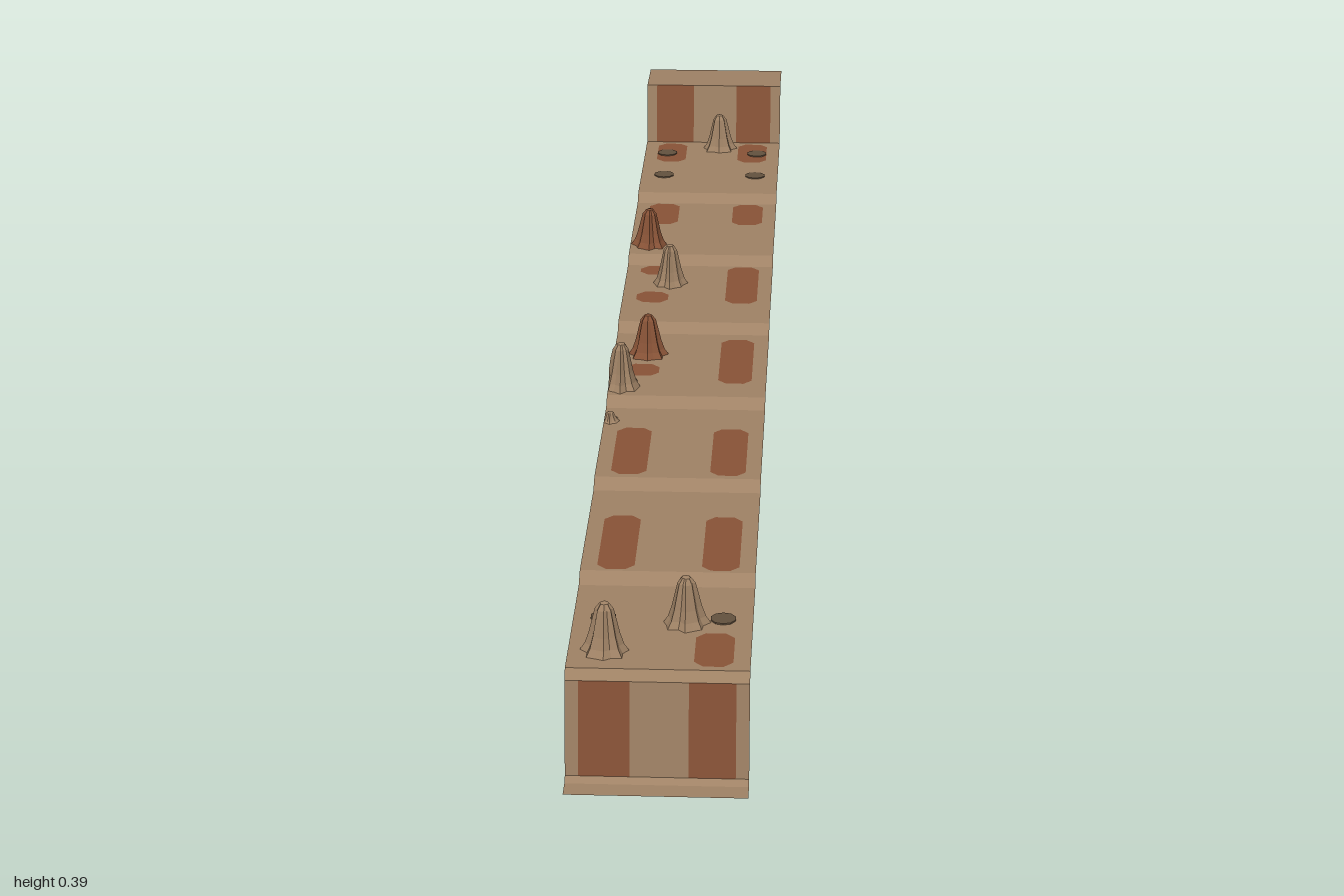
import * as THREE from 'three';

const W = 0.117;

export function createModel() {
  const model = new THREE.Group();
  const mat = (name, color) => {
    const m = new THREE.MeshStandardMaterial({ color, side: THREE.DoubleSide, flatShading: true });
    m.name = name;
    return m;
  };
  const tan = mat('tan rock', 0x9f8265);
  const rust = mat('rust earth', 0x885337);
  const soot = mat('dark pebble', 0x64523f);

  const add = (geo, material, name) => {
    const mesh = new THREE.Mesh(geo, material);
    mesh.name = name;
    model.add(mesh);
    return mesh;
  };

  // Flat strip spanning x0..x1 between two points [z, y] of the side profile
  const strip = (x0, x1, a, b, material, name) => {
    const g = new THREE.PlaneGeometry(1, 1);
    const p = g.attributes.position;
    for (let i = 0; i < 4; i++) {
      const [z, y] = p.getY(i) < 0 ? a : b;
      p.setXYZ(i, p.getX(i) < 0 ? x0 : x1, y, z);
    }
    g.computeVertexNormals();
    add(g, material, name);
  };

  // Walkway levels
  const steps = [0.94, 0.70, 0.43, 0.17, -0.09, -0.35, -0.61, -0.885];
  const treads = [];
  for (let i = 0; i < 7; i++) {
    treads.push({
      z0: steps[i] - (i ? 0.01 : 0), y0: 0.148 + 0.0217 * i,
      z1: steps[i + 1] + (i < 6 ? 0.01 : 0), y1: 0.157 + 0.0217 * i,
    });
  }
  const treadAt = z => treads.find(t => z <= t.z0 && z >= t.z1);
  const heightOn = (t, z) => t.y0 + (t.y1 - t.y0) * (t.z0 - z) / (t.z0 - t.z1);

  // Spikes: x, z, base radius, height, material
  const spikes = [
    [-0.07, 0.89, 0.03, 0.067, tan], [0.03, 0.81, 0.03, 0.065, tan],
    [-0.098, 0.125, 0.029, 0.068, tan], [-0.065, 0, 0.029, 0.064, rust],
    [-0.045, -0.265, 0.027, 0.064, tan], [-0.085, -0.405, 0.028, 0.061, rust],
    [0.012, -0.855, 0.028, 0.061, tan], [-0.108, 0.225, 0.014, 0.014, tan],
  ];
  const SIDES = 16;
  const ridge = (k, s) => 1 + 0.09 * Math.cos(k * Math.PI) + 0.07 * Math.sin(k * 1.9 + s * 2.3);
  const profile = [[1, 0], [0.8, 0.14], [0.64, 0.36], [0.5, 0.64], [0.38, 0.87], [0.2, 0.98], [0, 1]];
  const rim = (s, f) => {
    const [x, z, r] = spikes[s];
    return Array.from({ length: SIDES }, (_, k) => {
      const a = k / SIDES * Math.PI * 2, q = r * f * ridge(k % SIDES, s) * 0.95;
      return [Math.max(x + q * Math.cos(a), -W + 0.0005), z - q * Math.sin(a)];
    });
  };

  // Rust patches set flush in the treads: x centre, front z, back z
  const patches = [
    [0.07, 0.93, 0.84], [0.07, 0.685, 0.52], [-0.07, 0.685, 0.52],
    [0.07, 0.41, 0.25], [-0.07, 0.41, 0.25], [0.07, 0.11, -0.06], [-0.07, 0.085, 0.04],
    [0.07, -0.18, -0.337], [-0.07, -0.18, -0.225], [-0.07, -0.3, -0.337],
    [0.07, -0.5, -0.597], [-0.07, -0.5, -0.597], [0.07, -0.78, -0.875], [-0.07, -0.78, -0.875],
  ];
  const patchOutline = ([x, zf, zb]) => {
    const c = 0.012, h = 0.025;
    return [[x - h + c, zf], [x + h - c, zf], [x + h, zf - c], [x + h, zb + c],
      [x + h - c, zb], [x - h + c, zb], [x - h, zb + c], [x - h, zf - c]];
  };

  // Lay an outline in x and z on the slope of a tread
  const vectors = pts => pts.map(([x, z]) => new THREE.Vector2(x, -z));
  const lay = (t, outline, holes, material, name) => {
    const shape = new THREE.Shape(vectors(outline));
    holes.forEach(h => shape.holes.push(new THREE.Path(vectors(h))));
    const g = new THREE.ShapeGeometry(shape);
    const p = g.attributes.position;
    for (let i = 0; i < p.count; i++) {
      const z = -p.getY(i);
      p.setXYZ(i, p.getX(i), heightOn(t, z), z);
    }
    g.computeVertexNormals();
    add(g, material, name);
  };

  treads.forEach((t, i) => {
    const mine = patches.filter(p => treadAt((p[1] + p[2]) / 2) === t).map(patchOutline);
    const openings = spikes.map((s, k) => [s, k]).filter(([s]) => treadAt(s[1]) === t).map(([, k]) => rim(k, 1));
    lay(t, [[-W, t.z0], [W, t.z0], [W, t.z1], [-W, t.z1]], [...mine, ...openings], tan, 'tread');
    mine.forEach(o => lay(t, o, [], rust, 'rustPatch'));
    // Short ramp up to the next tread
    const n = treads[i + 1];
    if (n) strip(-W, W, [t.z1, t.y1], [n.z0, n.y0], tan, 'riser');
  });

  // Hollow ridged spikes
  spikes.forEach(([, z, , h, material], s) => {
    const t = treadAt(z), pos = [], index = [];
    profile.forEach(([f, v]) => rim(s, f).forEach(([px, pz]) =>
      pos.push(px, heightOn(t, pz) + v * h, pz)));
    for (let j = 0; j < profile.length - 1; j++) {
      for (let k = 0; k < SIDES; k++) {
        const a = j * SIDES + k, b = j * SIDES + (k + 1) % SIDES;
        index.push(a, b, b + SIDES, a, b + SIDES, a + SIDES);
      }
    }
    const g = new THREE.BufferGeometry();
    g.setAttribute('position', new THREE.Float32BufferAttribute(pos, 3));
    g.setIndex(index);
    g.computeVertexNormals();
    add(g, material, 'spike');
  });

  // Small dark spots in mirrored pairs
  for (const z of [0.8, -0.71, -0.825]) {
    for (const x of [-0.078, 0.078]) {
      add(new THREE.CylinderGeometry(0.017, 0.017, 0.003, 10), soot, 'darkSpot')
        .position.set(x, heightOn(treadAt(z), z), z);
    }
  }

  // End walls with two rust stripes
  const bands = [-W, -0.1, -0.035, 0.04, 0.1, W];
  const wall = (a, b, name) => {
    for (let i = 0; i < 5; i++) strip(bands[i], bands[i + 1], a, b, i % 2 ? rust : tan, name);
  };
  wall([0.964, 0.008], [0.95, 0.135], 'frontWall');
  strip(-W, W, [0.95, 0.135], [0.94, 0.148], tan, 'frontEdge');
  strip(-W, W, [1, 0], [0.972, 0.001], tan, 'frontLip');
  strip(-W, W, [0.972, 0.001], [0.964, 0.008], tan, 'frontLip');
  wall([-0.885, treads[6].y1], [-0.903, 0.386], 'backWall');
  strip(-W, W, [-0.903, 0.386], [-1, 0.387], tan, 'backLip');

  return model;
}
